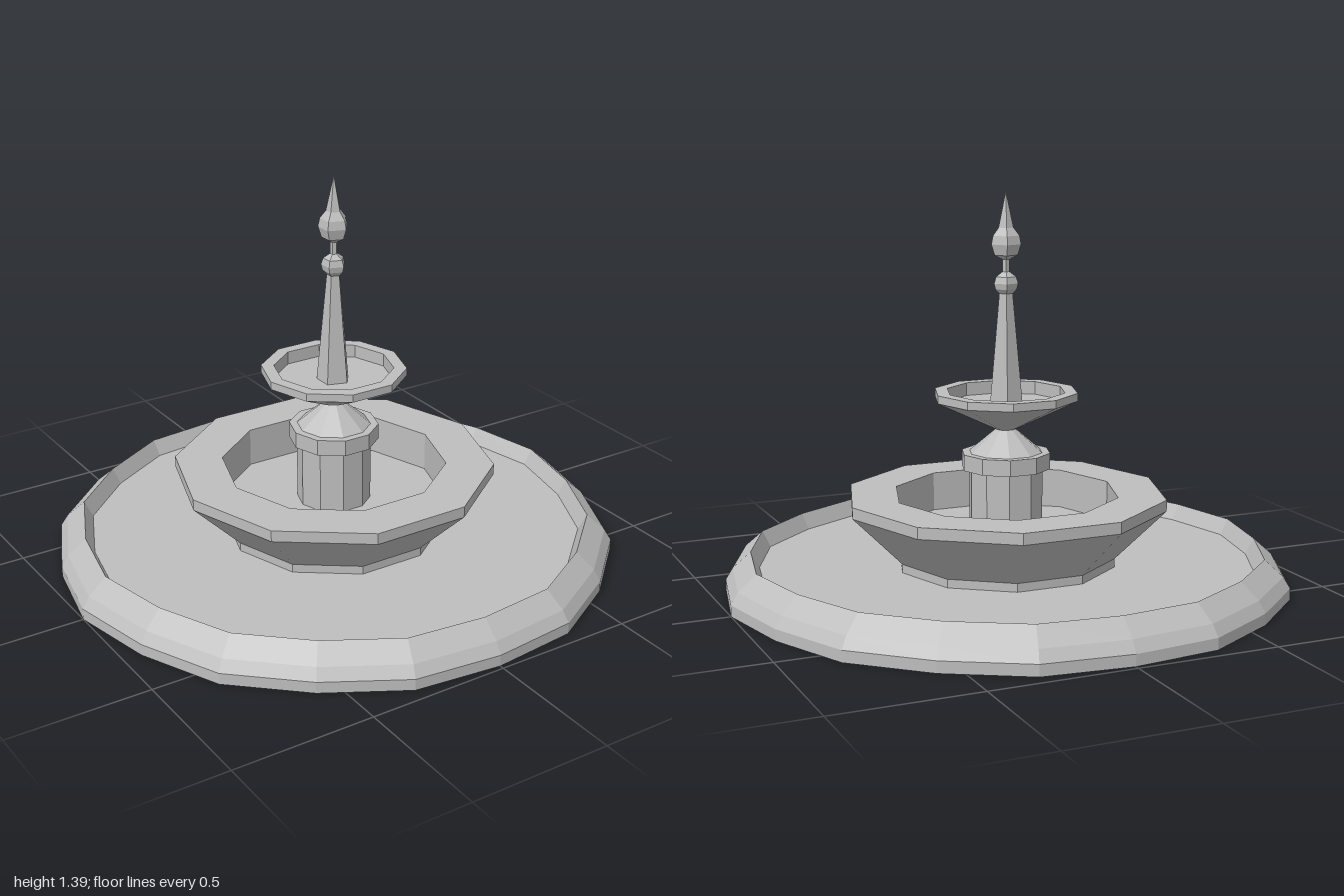
import * as THREE from 'three';

const stone = new THREE.MeshStandardMaterial({ color: 0xbebebe });
stone.name = 'stone';
stone.flatShading = true;
stone.side = THREE.DoubleSide;

// Faceted turned part from [radius, height] points, with one corner on +x
function turned(name, sides, profile) {
  const points = profile.map(([r, y]) => new THREE.Vector2(r, y));
  const mesh = new THREE.Mesh(new THREE.LatheGeometry(points, sides, Math.PI / 2), stone);
  mesh.name = name;
  return mesh;
}

export function createModel() {
  const fountain = new THREE.Group();
  fountain.name = 'fountain';

  // Ground basin: open underneath, every second corner pulled in slightly
  const basin = turned('groundBasin', 20, [
    [1, 0], [1, 0.04], [0.975, 0.08], [0.91, 0.137], [0.88, 0.08], [0, 0.08],
  ]);
  const pos = basin.geometry.attributes.position;
  const ringPoints = 6;
  for (let i = 0; i < pos.count; i++) {
    if (Math.floor(i / ringPoints) % 2 === 1) {
      pos.setX(i, pos.getX(i) * 0.985);
      pos.setZ(i, pos.getZ(i) * 0.985);
    }
  }
  fountain.add(basin);

  // Wide lower bowl on its foot, which is open below
  fountain.add(turned('lowerBowl', 10, [
    [0.39, 0.01], [0.39, 0.11], [0.57, 0.29], [0.57, 0.33],
    [0.4, 0.33], [0.4, 0.19], [0, 0.19],
  ]));

  // Column with a collar and a cone-shaped neck
  fountain.add(turned('column', 10, [
    [0.131, 0.19], [0.131, 0.42], [0.158, 0.42], [0.158, 0.477],
    [0.13, 0.477], [0.035, 0.558],
  ]));

  // Small upper bowl
  fountain.add(turned('upperBowl', 10, [
    [0.035, 0.558], [0.255, 0.665], [0.255, 0.693],
    [0.21, 0.693], [0.21, 0.647], [0, 0.647],
  ]));

  // Five-sided spire
  fountain.add(turned('spire', 5, [[0.06, 0.647], [0.024, 1.04]]));

  // Two balls joined by a thin neck, ending in a point
  fountain.add(turned('lowerBall', 5, [
    [0.022, 1.032], [0.039, 1.05], [0.044, 1.07], [0.037, 1.093], [0.013, 1.11],
  ]));
  fountain.add(turned('neck', 5, [[0.013, 1.1], [0.013, 1.17]]));
  fountain.add(turned('upperBall', 5, [
    [0.013, 1.152], [0.042, 1.168], [0.054, 1.205], [0.048, 1.235], [0.027, 1.262],
  ]));
  fountain.add(turned('tip', 5, [[0.027, 1.262], [0, 1.387]]));

  return fountain;
}
